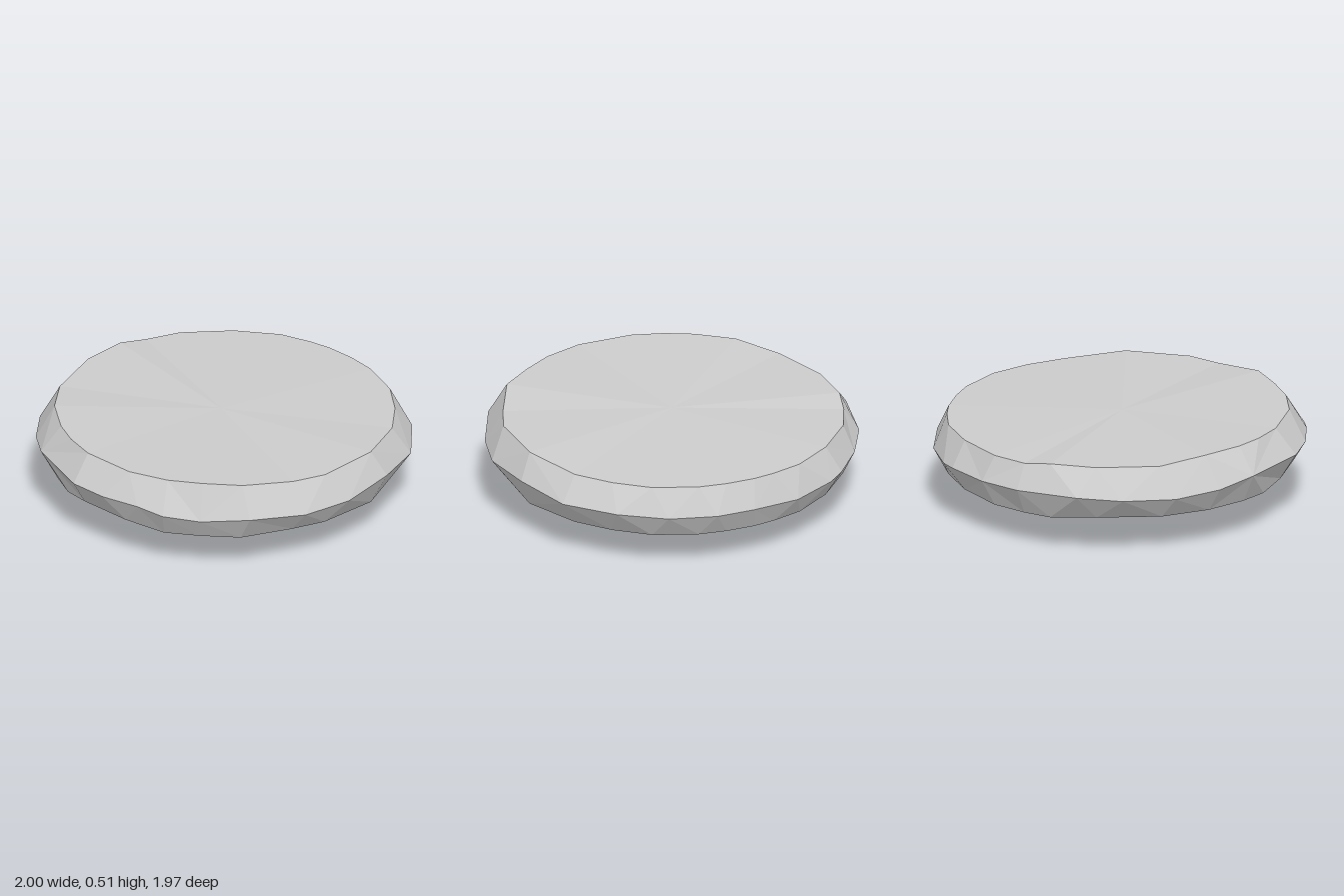
import * as THREE from 'three';

// Outline shared by the flat top and the lower edge, as [x, z]
const OUTLINE = [
  [-0.14, 0.87], [0.16, 0.87], [0.37, 0.80], [0.53, 0.70], [0.70, 0.57], [0.83, 0.32], [0.90, 0.15],
  [0.90, -0.20], [0.77, -0.50], [0.63, -0.67], [0.46, -0.81], [0.23, -0.90], [0.08, -0.92], [-0.08, -0.92],
  [-0.20, -0.90], [-0.37, -0.85], [-0.58, -0.71], [-0.77, -0.50], [-0.85, -0.32], [-0.89, -0.17],
  [-0.89, 0.08], [-0.79, 0.40], [-0.63, 0.61], [-0.45, 0.75], [-0.31, 0.82],
];

// Widest edge of the disc, as [x, y, z]
const GIRDLE = [
  [-0.14, 0.375, 0.98], [0.07, 0.375, 0.98], [0.28, 0.375, 0.935], [0.42, 0.35, 0.89], [0.58, 0.33, 0.77],
  [0.79, 0.355, 0.61], [0.93, 0.33, 0.33], [1, 0.34, 0.07], [0.97, 0.355, -0.25], [0.86, 0.33, -0.55],
  [0.65, 0.33, -0.78], [0.41, 0.32, -0.92], [0.16, 0.32, -0.99], [-0.05, 0.32, -0.99], [-0.32, 0.31, -0.945],
  [-0.56, 0.32, -0.83], [-0.65, 0.33, -0.76], [-0.81, 0.33, -0.56], [-0.93, 0.34, -0.34], [-1, 0.35, 0],
  [-0.95, 0.335, 0.24], [-0.84, 0.33, 0.50], [-0.68, 0.345, 0.70], [-0.51, 0.375, 0.84],
];

// Gently stepped heights that tilt the disc towards the back
const topY = (z) => (z > 0.5 ? 0.515 : z > -0.3 ? 0.49 : 0.466);
const lowY = (z) => (z > 0.85 ? 0.237 : z > -0.1 ? 0.21 : 0.19);

// Angles round a ring, always increasing
function ringAngles(ring) {
  const out = ring.map(([x, , z]) => Math.atan2(x, z));
  for (let i = 1; i < out.length; i++) while (out[i] < out[i - 1]) out[i] += Math.PI * 2;
  out.push(out[0] + Math.PI * 2);
  return out;
}

// Faceted band between two rings that may differ in point count
function band(low, high) {
  const a = ringAngles(low), b = ringAngles(high), tris = [];
  const at = (ring, i) => ring[i % ring.length];
  let i = 0, j = 0;
  while (i < low.length || j < high.length) {
    if (j === high.length || (i < low.length && a[i + 1] <= b[j + 1])) {
      tris.push(at(low, i), at(low, i + 1), at(high, j));
      i++;
    } else {
      tris.push(at(low, i), at(high, j + 1), at(high, j));
      j++;
    }
  }
  return tris;
}

// Cap of triangles round a centre point
function cap(ring, centre, up) {
  return ring.flatMap((p, i) => {
    const q = ring[(i + 1) % ring.length];
    return up ? [centre, p, q] : [centre, q, p];
  });
}

function part(name, tris, material) {
  const geometry = new THREE.BufferGeometry();
  geometry.setAttribute('position', new THREE.Float32BufferAttribute(tris.flat(), 3));
  geometry.computeVertexNormals();
  const mesh = new THREE.Mesh(geometry, material);
  mesh.name = name;
  return mesh;
}

export function createModel() {
  const material = new THREE.MeshStandardMaterial({ color: 0xcccccc, flatShading: true });
  const top = OUTLINE.map(([x, z]) => [x, topY(z), z]);
  const low = OUTLINE.map(([x, z]) => [x, lowY(z), z > 0 ? z * 1.03 : z]);
  const foot = Array.from({ length: 14 }, (_, i) => {
    const t = -0.14 + (i / 14) * Math.PI * 2;
    return [0.015 + 0.08 * Math.sin(t), 0, 0.08 * Math.cos(t)];
  });

  const group = new THREE.Group();
  group.name = 'facetedDisc';
  group.add(
    part('flatTop', cap(top, [0, 0.495, 0], true), material),
    part('upperBevel', band(GIRDLE, top), material),
    part('lowerBevel', band(low, GIRDLE), material),
    part('conicalUnderside', band(foot, low), material),
    part('foot', cap(foot, [0.015, 0, 0], false), material),
  );
  return group;
}
